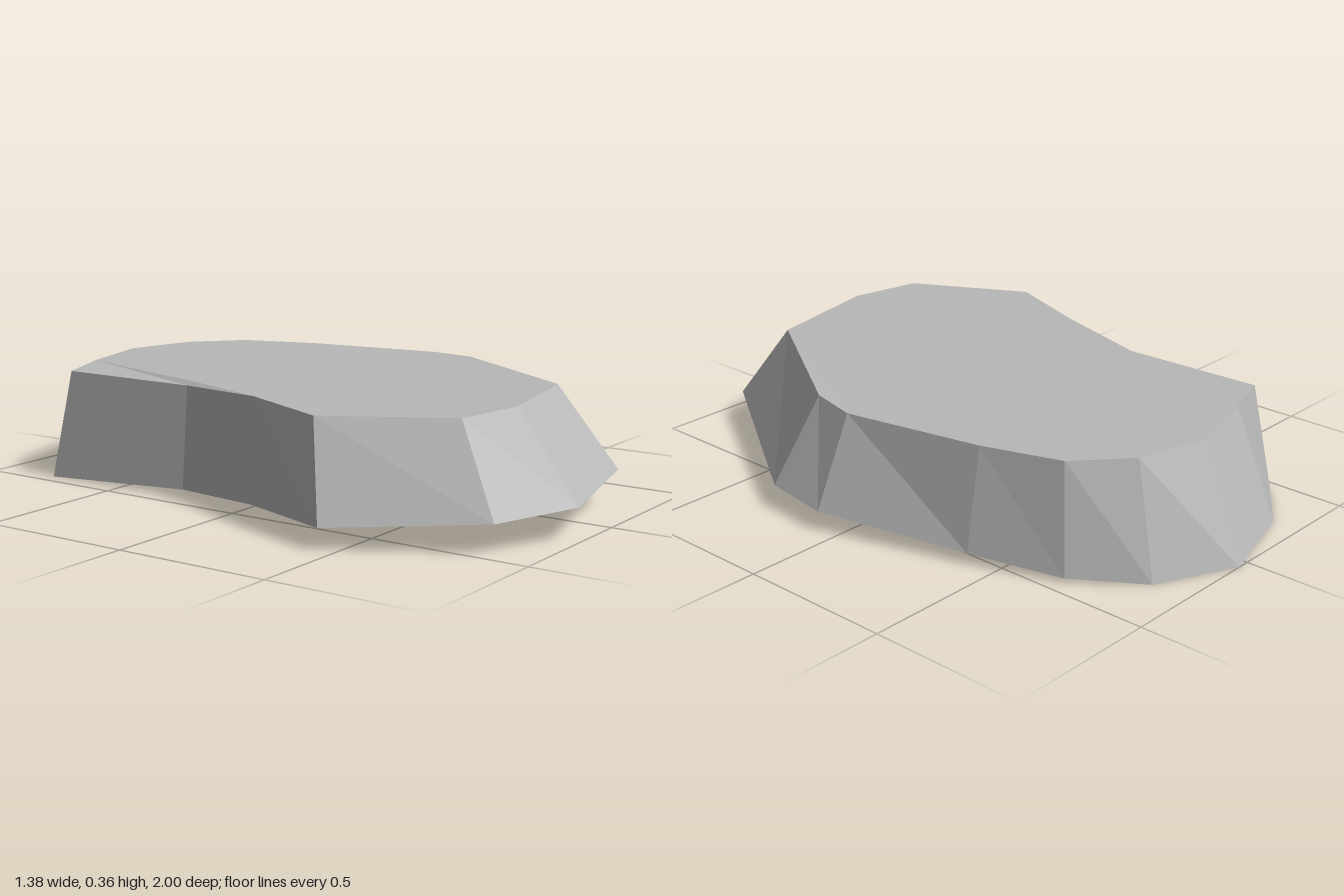
import * as THREE from 'three';

// Outline pairs, clockwise from the back: [rim x, y, z, top x, y, z]
const outline = [
  [0.04, 0, -1, 0.035, 0.355, -0.855],
  [0.29, 0, -0.88, 0.26, 0.355, -0.795],
  [0.45, 0.015, -0.69, 0.415, 0.355, -0.655],
  [0.55, 0.035, -0.41, 0.495, 0.355, -0.41],
  [0.69, 0.063, 0.065, 0.58, 0.353, 0.04],
  [0.67, 0.075, 0.28, 0.545, 0.356, 0.2],
  [0.285, 0.104, 0.88, 0.23, 0.358, 0.695],
  [-0.2, 0.1, 0.995, -0.165, 0.358, 0.775],
  [-0.465, 0.09, 0.875, -0.4, 0.356, 0.73],
  [-0.695, 0.065, 0.45, -0.6, 0.355, 0.37],
  [-0.525, 0.045, 0.09, -0.48, 0.36, 0.07],
  [-0.43, 0.025, -0.25, -0.4, 0.348, -0.25],
  [-0.45, 0, -0.78, -0.415, 0.35, -0.72],
  [-0.27, 0, -0.91, -0.23, 0.355, -0.785],
];
const rim = outline.map((p) => new THREE.Vector3(p[0], p[1], p[2]));
const top = outline.map((p) => new THREE.Vector3(p[3], p[4], p[5]));

function makeMesh(name, triangles, material) {
  const geometry = new THREE.BufferGeometry().setFromPoints(triangles.flat());
  geometry.computeVertexNormals();
  const mesh = new THREE.Mesh(geometry, material);
  mesh.name = name;
  return mesh;
}

export function createModel() {
  const group = new THREE.Group();
  group.name = 'rockLedge';
  const stone = new THREE.MeshStandardMaterial({
    color: 0xb8b8b8, flatShading: true, side: THREE.DoubleSide,
  });
  stone.name = 'grey stone';

  // Sloping side walls, open underneath
  const walls = [];
  rim.forEach((a, i) => {
    const j = (i + 1) % rim.length;
    walls.push([a, top[i], top[j]], [a, top[j], rim[j]]);
  });
  group.add(makeMesh('sideWalls', walls, stone));

  // Main top surface, ending at a slight ridge beside the back corner
  const ridge = new THREE.Vector3(-0.385, 0.36, -0.24);
  const slab = [...top.slice(0, 11), ridge, top[13]];
  const flat = slab.map((p) => new THREE.Vector2(p.x, p.z));
  const cap = THREE.ShapeUtils.triangulateShape(flat, []).map((f) => {
    const [a, b, c] = f.map((k) => slab[k]);
    const up = b.clone().sub(a).cross(c.clone().sub(a)).y > 0;
    return up ? [a, b, c] : [a, c, b];
  });
  group.add(makeMesh('topSurface', cap, stone));

  // Lower corner and the narrow step that joins it to the slab
  group.add(makeMesh('backCorner', [[top[13], top[12], top[11]]], stone));
  group.add(makeMesh('cornerStep', [
    [top[13], top[11], ridge],
    [top[11], top[10], ridge],
  ], stone));
  return group;
}
